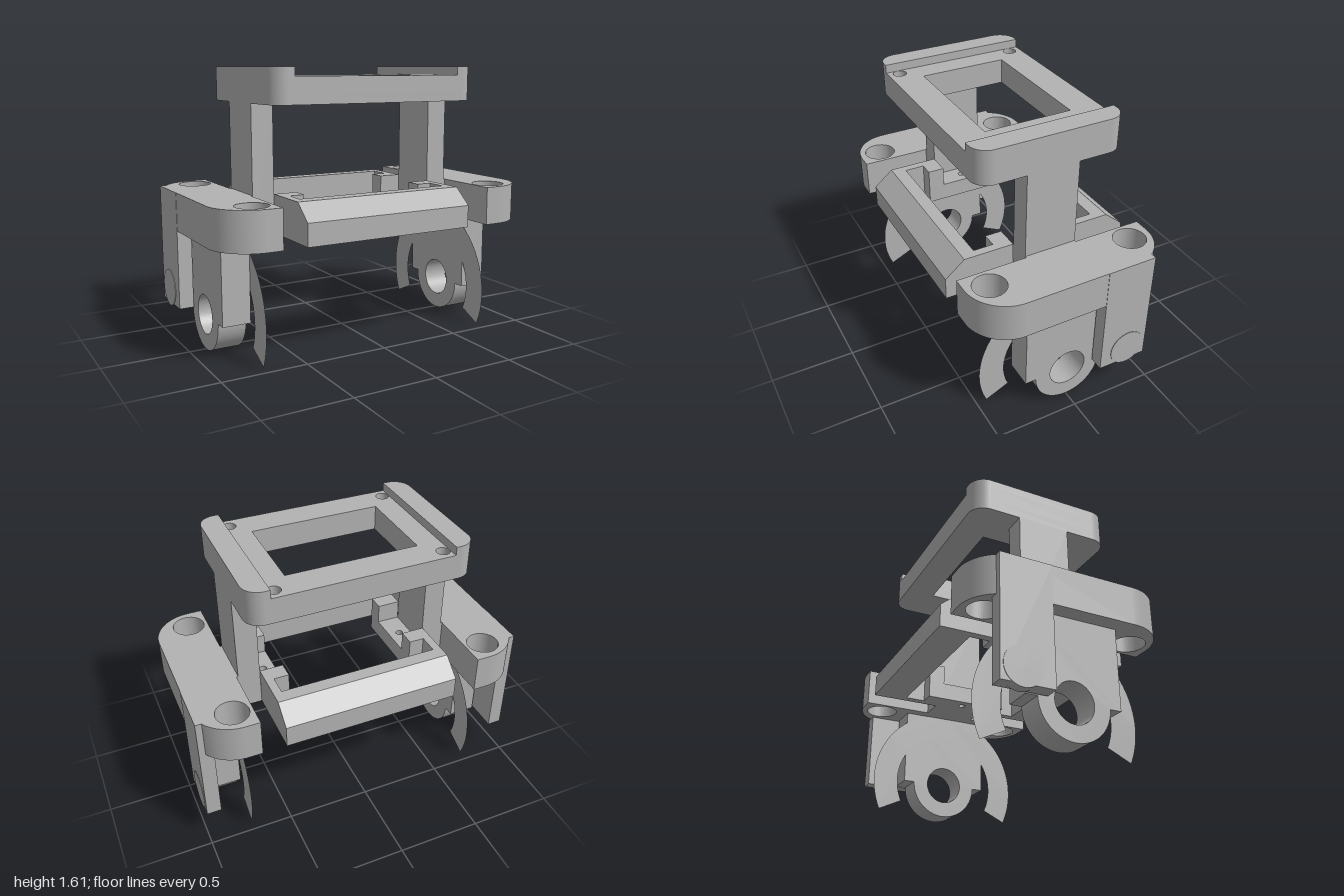
import * as THREE from 'three';

const gray = new THREE.MeshStandardMaterial({ color: 0xb2b2b2 });
gray.name = 'plain gray';
const sheetGray = gray;
sheetGray.side = THREE.DoubleSide;

export function createModel() {
  const model = new THREE.Group();
  const add = (name, geometry) => {
    const mesh = new THREE.Mesh(geometry, gray);
    mesh.name = name;
    model.add(mesh);
    return mesh;
  };
  // box given by its limits on each axis
  const box = (name, x0, x1, y0, y1, z0, z1) => {
    const g = new THREE.BoxGeometry(Math.abs(x1 - x0), y1 - y0, z1 - z0);
    add(name, g.translate((x0 + x1) / 2, (y0 + y1) / 2, (z0 + z1) / 2));
  };
  const circle = (x, y, r) => new THREE.Path().absarc(x, y, r, 0, Math.PI * 2, true);
  // plan outline raised from y0 to y1
  const slab = (name, shape, y0, y1) => {
    const g = new THREE.ExtrudeGeometry(shape, { depth: y1 - y0, bevelEnabled: false, curveSegments: 24 });
    add(name, g.rotateX(-Math.PI / 2).translate(0, y0, 0));
  };
  // side outline (z mirrored, y) extruded along x
  const across = (name, shape, x0, x1) => {
    const g = new THREE.ExtrudeGeometry(shape, { depth: x1 - x0, bevelEnabled: false, curveSegments: 32 });
    add(name, g.rotateY(Math.PI / 2).translate(x0, 0, 0));
  };
  const polygon = (pts) => new THREE.Shape(pts.map(([x, y]) => new THREE.Vector2(x, y)));

  // top frame: solid lower layer, upper layer with blind screw holes
  const frameShape = () => {
    const X = 0.66, Z = 0.44, r = 0.1, s = new THREE.Shape();
    s.absarc(X - r, Z - r, r, 0, Math.PI / 2);
    s.absarc(-X + r, Z - r, r, Math.PI / 2, Math.PI);
    s.absarc(-X + r, -Z + r, r, Math.PI, Math.PI * 1.5);
    s.absarc(X - r, -Z + r, r, Math.PI * 1.5, Math.PI * 2);
    s.closePath();
    s.holes.push(polygon([[-0.39, -0.26], [-0.39, 0.26], [0.39, 0.26], [0.39, -0.26]]));
    return s;
  };
  slab('topFrameLower', frameShape(), 1.41, 1.47);
  const drilled = frameShape();
  for (const x of [-0.49, 0.49]) for (const z of [-0.37, 0.37]) drilled.holes.push(circle(x, z, 0.039));
  slab('topFrameUpper', drilled, 1.47, 1.56);

  // chamfered front and back beams of the lower frame
  for (const s of [-1, 1]) {
    across('lowerBeam', polygon([[s * 0.38, 0.675], [s * 0.575, 0.675], [s * 0.575, 0.805],
      [s * 0.46, 0.9], [s * 0.38, 0.9]]), -0.53, 0.53);
  }

  for (const s of [-1, 1]) {
    // raised rail along each end of the top frame
    const rail = new THREE.Shape();
    rail.moveTo(s * 0.53, -0.44);
    rail.lineTo(s * 0.56, -0.44);
    rail.absarc(s * 0.56, -0.34, 0.1, -Math.PI / 2, s > 0 ? 0 : -Math.PI, s < 0);
    rail.absarc(s * 0.56, 0.34, 0.1, s > 0 ? 0 : Math.PI, Math.PI / 2, s < 0);
    rail.lineTo(s * 0.53, 0.44);
    slab('topRail', rail, 1.56, 1.61);

    // upright, also joining the lower frame to the side arm
    box('post', s * 0.53, s * 0.66, 0.675, 1.41, -0.158, 0.158);
    box('postFoot', s * 0.66, s * 0.672, 0.675, 0.9, -0.158, 0.158);

    // lower frame end: drilled floor tab, stops and thin walls
    const tab = polygon([[s * 0.39, -0.16], [s * 0.53, -0.16], [s * 0.53, 0.16], [s * 0.39, 0.16]]);
    tab.holes.push(circle(s * 0.46, 0, 0.022));
    slab('floorTab', tab, 0.675, 0.78);
    for (const t of [-1, 1]) {
      const z = (a, b) => t > 0 ? [a, b] : [-b, -a];
      box('frameStop', s * 0.39, s * 0.53, 0.675, 0.9, ...z(0.16, 0.26));
      box('frameEndWall', s * 0.48, s * 0.53, 0.675, 0.9, ...z(0.26, 0.38));
    }

    // side arm with rounded outer corners and two through holes
    const arm = new THREE.Shape();
    arm.moveTo(s * 0.67, -0.575);
    arm.lineTo(s * 0.755, -0.575);
    arm.absarc(s * 0.755, -0.335, 0.24, -Math.PI / 2, s > 0 ? 0 : -Math.PI, s < 0);
    arm.absarc(s * 0.755, 0.335, 0.24, s > 0 ? 0 : Math.PI, Math.PI / 2, s < 0);
    arm.lineTo(s * 0.67, 0.575);
    arm.holes.push(circle(s * 0.785, -0.44, 0.095), circle(s * 0.785, 0.44, 0.095));
    slab('sideArm', arm, 0.675, 0.9);

    // leg ending in a bearing ring
    const leg = new THREE.Shape();
    leg.moveTo(-0.275, 0.675);
    leg.lineTo(-0.275, 0.21);
    leg.lineTo(-0.21, 0.21);
    leg.absarc(0, 0.21, 0.208, Math.PI, Math.PI * 2);
    leg.lineTo(0.275, 0.21);
    leg.lineTo(0.275, 0.675);
    leg.holes.push(circle(0, 0.21, 0.115));
    across('leg', leg, s > 0 ? 0.735 : -0.9, s > 0 ? 0.9 : -0.735);

    // thin arched guard on the inner face of the leg
    const a = 25 * Math.PI / 180, guard = new THREE.Shape();
    guard.absarc(0, 0.21, 0.482, -a, Math.PI + a);
    guard.absarc(0, 0.21, 0.325, Math.PI + a, -a, true);
    guard.closePath();
    const sheet = new THREE.ShapeGeometry(guard, 32);
    add('archedGuard', sheet.rotateY(Math.PI / 2).translate(s * 0.733, 0, 0));

    // outer rear bracket with a round boss
    box('rearBracket', s * 0.912, s * 0.997, 0.21, 0.9, -0.46, -0.16);
    const boss = new THREE.CylinderGeometry(0.11, 0.11, 0.06, 32);
    add('bracketBoss', boss.rotateZ(Math.PI / 2).translate(s * 0.97, 0.3, -0.335));
  }
  return model;
}
